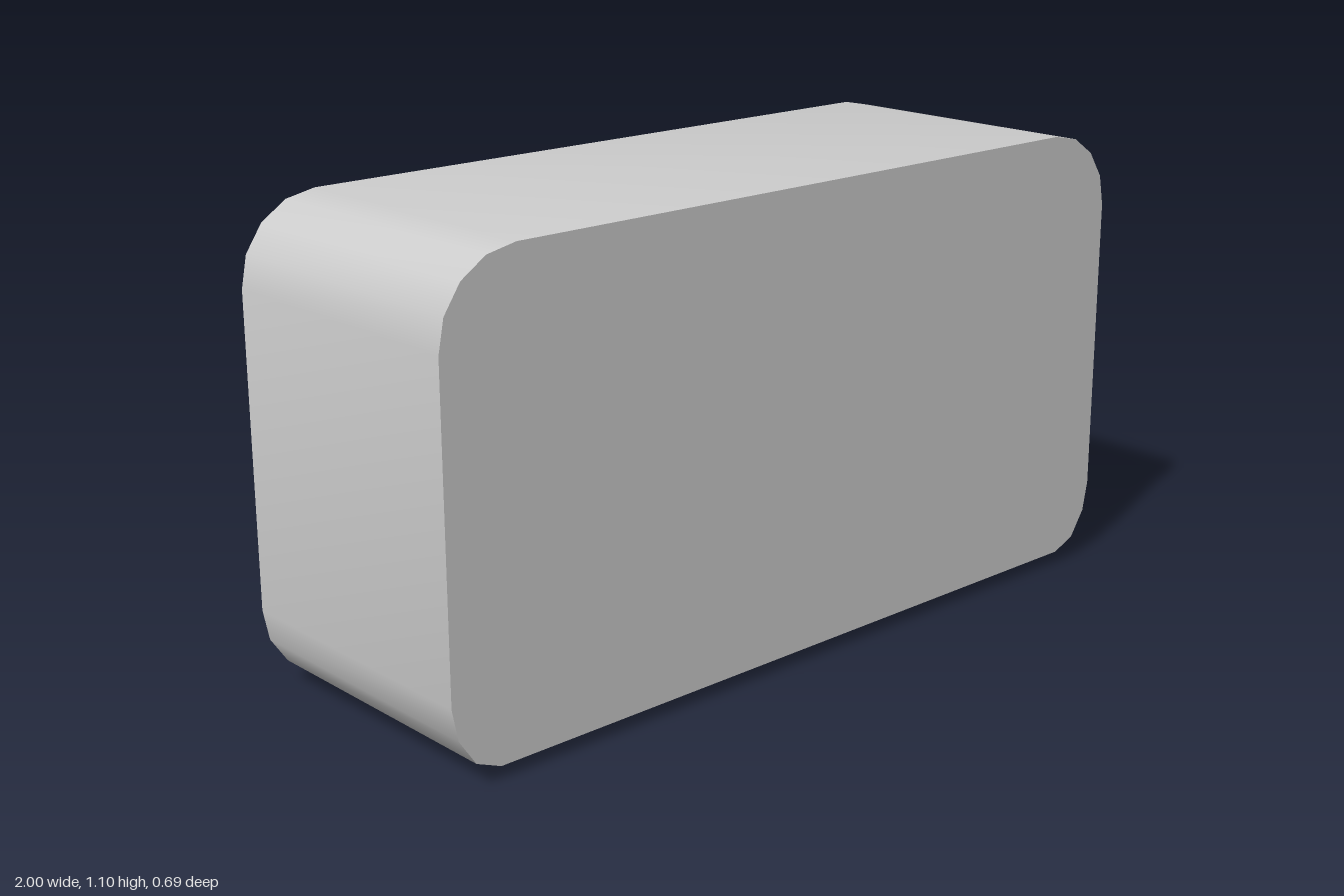
import * as THREE from 'three';
import { toCreasedNormals } from 'three/addons/utils/BufferGeometryUtils.js';

const MID_Y = 0.55, BACK = -0.345, FRONT = 0.345, SEG = 4;

// Counter-clockwise rounded rectangle given by half width, half height and corner radius
function roundedLoop(hw, hh, r, cx = 0, cy = MID_Y) {
  const pts = [];
  [[1, 1], [-1, 1], [-1, -1], [1, -1]].forEach(([sx, sy], q) => {
    for (let i = 0; i <= SEG; i++) {
      const a = (q + i / SEG) * Math.PI / 2;
      pts.push(new THREE.Vector2(
        cx + sx * (hw - r) + r * Math.cos(a),
        cy + sy * (hh - r) + r * Math.sin(a)));
    }
  });
  return pts;
}

// Skin running through loops of equal point count, each at its own z
function skin(loops) {
  const n = loops[0].pts.length, pos = [], index = [];
  loops.forEach(({ pts, z }) => pts.forEach(p => pos.push(p.x, p.y, z)));
  for (let i = 0; i < loops.length - 1; i++) {
    for (let j = 0; j < n; j++) {
      const a = i * n + j, b = i * n + (j + 1) % n, c = a + n, d = b + n;
      index.push(a, c, d, a, d, b);
    }
  }
  const g = new THREE.BufferGeometry();
  g.setAttribute('position', new THREE.Float32BufferAttribute(pos, 3));
  g.setIndex(index);
  return toCreasedNormals(g.toNonIndexed(), 0.6);
}

export function createModel() {
  const group = new THREE.Group();
  const material = new THREE.MeshStandardMaterial({ color: 0xcccccc });
  const add = (name, geometry) => {
    const mesh = new THREE.Mesh(geometry, material);
    mesh.name = name;
    group.add(mesh);
    return mesh;
  };

  // Housing: front face, outer wall, back rim, groove wall and groove floor.
  // The underside is cut so that it rises slightly towards the front.
  const centre = roundedLoop(0, 0, 0);
  const outer = roundedLoop(1, 0.55, 0.19);
  const frontOutline = outer.map(p => new THREE.Vector2(p.x, Math.max(p.y, 0.03)));
  const rim = roundedLoop(0.94, 0.495, 0.13);
  add('housing', skin([
    { pts: centre, z: FRONT },
    { pts: frontOutline, z: FRONT },
    { pts: outer, z: BACK },
    { pts: rim, z: BACK },
    { pts: rim, z: BACK + 0.1 },
    { pts: centre, z: BACK + 0.1 },
  ]));

  // Back panel with three rounded windows
  const panelZ = BACK + 0.015, panelDepth = 0.085;
  const panelShape = new THREE.Shape(roundedLoop(0.88, 0.45, 0.12));
  for (const x of [-0.585, 0, 0.585]) {
    const windowLoop = roundedLoop(0.223, 0.388, 0.075, x);
    panelShape.holes.push(new THREE.Path(windowLoop));

    // Floor of each shallow pocket
    const floor = new THREE.ExtrudeGeometry(new THREE.Shape(windowLoop),
      { depth: panelDepth - 0.05, bevelEnabled: false });
    add('pocketFloor', toCreasedNormals(floor, 0.6)).position.z = panelZ + 0.05;
  }
  const panel = new THREE.ExtrudeGeometry(panelShape, { depth: panelDepth, bevelEnabled: false });
  add('backPanel', toCreasedNormals(panel, 0.6)).position.z = panelZ;

  return group;
}
